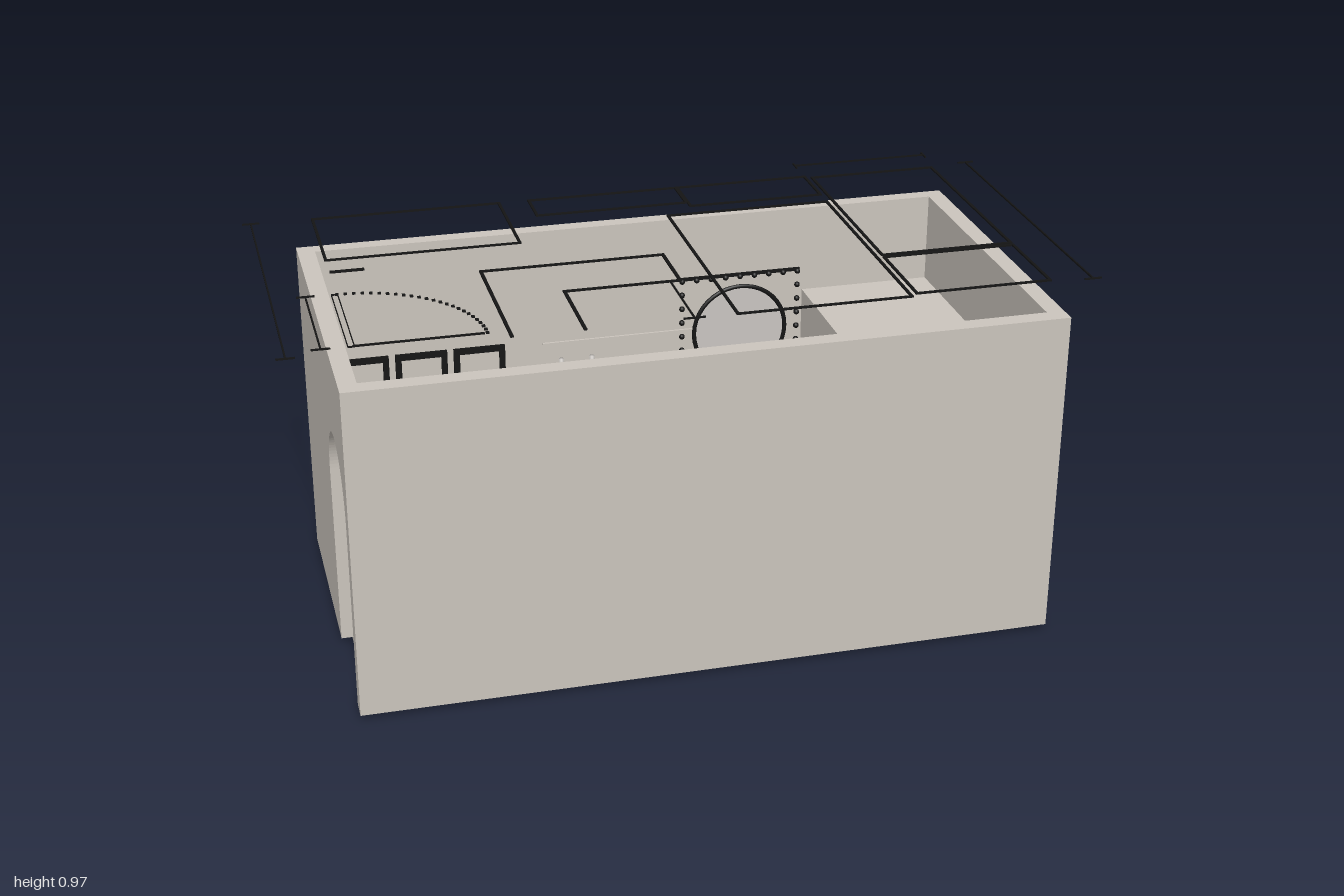
import * as THREE from 'three';
import { RoundedBoxGeometry } from 'three/addons/geometries/RoundedBoxGeometry.js';

export function createModel() {
  const root = new THREE.Group();
  const plaster = new THREE.MeshStandardMaterial({ color: 0xcbc5bd });
  plaster.name = 'warm grey plaster';
  const fabric = new THREE.MeshStandardMaterial({ color: 0xc9c5c1 });
  fabric.name = 'soft grey fabric';
  const black = new THREE.MeshStandardMaterial({ color: 0x141414 });
  black.name = 'black';

  const add = (name, geo, mat, x = 0, y = 0, z = 0, parent = root) => {
    const m = new THREE.Mesh(geo, mat);
    m.name = name;
    m.position.set(x, y, z);
    parent.add(m);
    return m;
  };
  // Box given by its low and high limits on each axis
  const box = (name, mat, x0, x1, y0, y1, z0, z1, parent = root) =>
    add(name, new THREE.BoxGeometry(x1 - x0, y1 - y0, z1 - z0), mat,
      (x0 + x1) / 2, (y0 + y1) / 2, (z0 + z1) / 2, parent);
  const soft = (name, x0, x1, y0, y1, z0, z1, r, parent) =>
    add(name, new RoundedBoxGeometry(x1 - x0, y1 - y0, z1 - z0, 4, r), fabric,
      (x0 + x1) / 2, (y0 + y1) / 2, (z0 + z1) / 2, parent);

  // Floor and straight walls
  box('floor', plaster, -0.835, 0.89, 0, 0.02, -0.39, 0.475);
  box('frontWall', plaster, -0.865, 0.915, 0.015, 0.88, 0.455, 0.5);
  box('backWall', plaster, -0.865, 0.915, 0.015, 0.88, -0.42, -0.38);
  box('leftWall', plaster, 0.87, 0.915, 0.015, 0.88, -0.38, 0.455);

  // Entrance wall with arched doorway, drawn in z and y
  const s = new THREE.Shape();
  s.moveTo(-0.38, 0.015);
  s.lineTo(0.128, 0.015);
  s.lineTo(0.128, 0.506);
  s.absarc(0.288, 0.506, 0.16, Math.PI, 0, true);
  s.lineTo(0.448, 0.015);
  s.lineTo(0.455, 0.015);
  s.lineTo(0.455, 0.88);
  s.lineTo(-0.38, 0.88);
  s.closePath();
  const arch = new THREE.ExtrudeGeometry(s, { depth: 0.045, bevelEnabled: false, curveSegments: 24 });
  arch.rotateY(-Math.PI / 2);
  add('doorWall', arch, plaster, -0.82, 0, 0);

  // Enclosed store and small open-topped washroom beside it
  box('partition', plaster, 0.51, 0.53, 0.02, 0.64, -0.38, 0.455);
  box('storeRoom', plaster, 0.53, 0.87, 0.02, 0.64, -0.38, 0.2);
  box('washroomWall', plaster, 0.53, 0.87, 0.02, 0.64, 0.2, 0.215);
  box('washUnit', black, 0.54, 0.66, 0.3, 0.57, 0.22, 0.44);
  box('washShelf', black, 0.66, 0.735, 0.5, 0.54, 0.22, 0.265);
  box('wallLamp', plaster, 0.5, 0.51, 0.42, 0.5, 0.28, 0.37);
  for (let i = 0; i < 8; i++)
    add('partitionBulb', new THREE.SphereGeometry(0.005, 8, 6), black, 0.505, 0.5, -0.07 + i * 0.037);

  // Bed
  box('bed', plaster, 0.08, 0.51, 0.02, 0.17, -0.195, 0.455);

  // Corner counter: raised bar around a lower worktop
  const counter = new THREE.Group();
  counter.name = 'cornerCounter';
  root.add(counter);
  box('barSide', plaster, -0.46, -0.38, 0.02, 0.36, 0.065, 0.455, counter);
  box('barBack', plaster, -0.38, 0, 0.02, 0.36, 0.065, 0.15, counter);
  box('worktopSide', plaster, -0.38, -0.285, 0.02, 0.3, 0.15, 0.455, counter);
  box('worktopBack', plaster, -0.285, 0, 0.02, 0.3, 0.15, 0.235, counter);

  // Two-seat sofa
  const sofa = new THREE.Group();
  sofa.name = 'sofa';
  root.add(sofa);
  soft('sofaBase', -0.78, -0.38, 0.03, 0.11, -0.375, -0.14, 0.015, sofa);
  for (const side of [-1, 1]) {
    const cx = -0.58 + side * 0.082;
    soft('seatCushion', cx - 0.081, cx + 0.081, 0.1, 0.16, -0.3, -0.132, 0.022, sofa);
    const back = soft('backCushion', cx - 0.084, cx + 0.084, 0.13, 0.28, -0.37, -0.29, 0.035, sofa);
    back.rotation.x = -0.08;
    const ax = -0.58 + side * 0.199;
    soft('armrest', ax - 0.03, ax + 0.03, 0.03, 0.21, -0.372, -0.135, 0.028, sofa);
  }

  // Three picture frames above the sofa
  for (let i = 0; i < 3; i++) {
    const x = -0.715 + i * 0.158, w = 0.062;
    for (const d of [-1, 1]) {
      box('frameSide', black, x + d * w - 0.008, x + d * w + 0.008, 0.33, 0.565, -0.38, -0.37);
      const y = d < 0 ? 0.338 : 0.557;
      box('frameRail', black, x - w, x + w, y - 0.008, y + 0.008, -0.38, -0.37);
    }
    box('picture', plaster, x - w, x + w, 0.338, 0.557, -0.38, -0.376);
  }

  // Wavy-edged wall shelf with bottles and a box
  const edge = new THREE.Shape();
  edge.moveTo(-0.25, 0.38);
  edge.lineTo(0.15, 0.38);
  edge.lineTo(0.15, 0.29);
  edge.splineThru([[0.09, 0.285], [0.03, 0.3], [-0.04, 0.29], [-0.12, 0.305], [-0.2, 0.285], [-0.25, 0.32]]
    .map(([x, y]) => new THREE.Vector2(x, y)));
  const slab = new THREE.ExtrudeGeometry(edge, { depth: 0.03, bevelEnabled: false, curveSegments: 24 });
  slab.rotateX(-Math.PI / 2);
  add('wavyShelf', slab, fabric, 0, 0.42, 0);
  for (const x of [-0.18, -0.095]) {
    const pts = [[0, 0], [0.016, 0], [0.016, 0.04], [0.007, 0.055], [0.007, 0.07], [0, 0.07]];
    add('bottle', new THREE.LatheGeometry(pts.map(p => new THREE.Vector2(...p)), 16), fabric, x, 0.45, -0.345);
  }
  box('shelfBox', fabric, 0.01, 0.065, 0.45, 0.49, -0.375, -0.32);
  box('wallRail', plaster, -0.225, 0.26, 0.55, 0.556, -0.38, -0.374);

  // Dressing table with a round mirror and a lit frame
  box('dressingTable', plaster, 0.155, 0.51, 0.02, 0.27, -0.38, -0.25);
  const ring = add('mirrorRing', new THREE.TorusGeometry(0.13, 0.006, 8, 40), black, 0.33, 0.54, -0.373);
  const glass = new THREE.CylinderGeometry(0.13, 0.13, 0.006, 40);
  glass.rotateX(Math.PI / 2);
  add('mirror', glass, fabric, 0, 0, -0.003, ring);
  box('mirrorRail', black, 0.16, 0.5, 0.7, 0.708, -0.38, -0.372);
  for (let i = 0; i < 9; i++)
    add('mirrorBulb', new THREE.SphereGeometry(0.008, 10, 8), black, 0.165 + i * 0.041, 0.7, -0.371);
  for (let i = 0; i < 6; i++)
    for (const x of [0.165, 0.493])
      add('mirrorBulb', new THREE.SphereGeometry(0.008, 10, 8), black, x, 0.66 - i * 0.041, -0.371);

  // Floor-plan outlines floating above the walls
  const plan = new THREE.Group();
  plan.name = 'planLines';
  root.add(plan);
  const line = (x0, z0, x1, z1, w = 0.007) =>
    box('planLine', black, Math.min(x0, x1) - w / 2, Math.max(x0, x1) + w / 2, 0.963, 0.967,
      Math.min(z0, z1) - w / 2, Math.max(z0, z1) + w / 2, plan);
  const path = (pts, w) => pts.slice(1).forEach((p, i) => line(...pts[i], ...p, w));
  const rect = (x0, z0, x1, z1, w) => path([[x0, z0], [x1, z0], [x1, z1], [x0, z1], [x0, z0]], w);
  rect(-0.82, -0.393, -0.33, -0.1);
  rect(-0.25, -0.393, 0.15, -0.278);
  rect(0.155, -0.393, 0.512, -0.25);
  rect(0.08, -0.195, 0.512, 0.47);
  rect(0.53, -0.38, 0.872, 0.2);
  rect(0.53, 0.215, 0.872, 0.455);
  path([[-0.46, 0.47], [-0.46, 0.065], [0, 0.065], [0, 0.238], [-0.287, 0.238], [-0.287, 0.47]], 0.008);
  path([[-0.025, 0.238], [-0.025, 0.47]], 0.004);
  line(-0.05, 0.468, 0, 0.468, 0.004);
  line(-0.815, -0.02, -0.74, -0.02, 0.01);

  // Door leaf and its dotted swing
  line(-0.82, 0.437, -0.52, 0.437, 0.005);
  rect(-0.833, 0.125, -0.818, 0.44, 0.002);
  for (let i = 0; i <= 24; i++) {
    const a = (i / 24) * Math.PI / 2;
    const x = -0.82 + 0.31 * Math.sin(a), z = 0.435 - 0.31 * Math.cos(a);
    line(x, z, x, z, 0.008);
  }

  // Dimension lines with end ticks
  for (const [x, z0, z1, t] of [[-0.978, -0.397, 0.47, 0.02], [0.978, -0.397, 0.47, 0.02], [-0.895, 0.122, 0.437, 0.02]]) {
    line(x, z0, x, z1, 0.004);
    for (const z of [z0, z1]) line(x - t, z, x + t, z, 0.004);
  }
  line(0.513, -0.483, 0.886, -0.483, 0.004);
  for (const x of [0.513, 0.886]) line(x, -0.498, x, -0.465, 0.004);
  return root;
}
